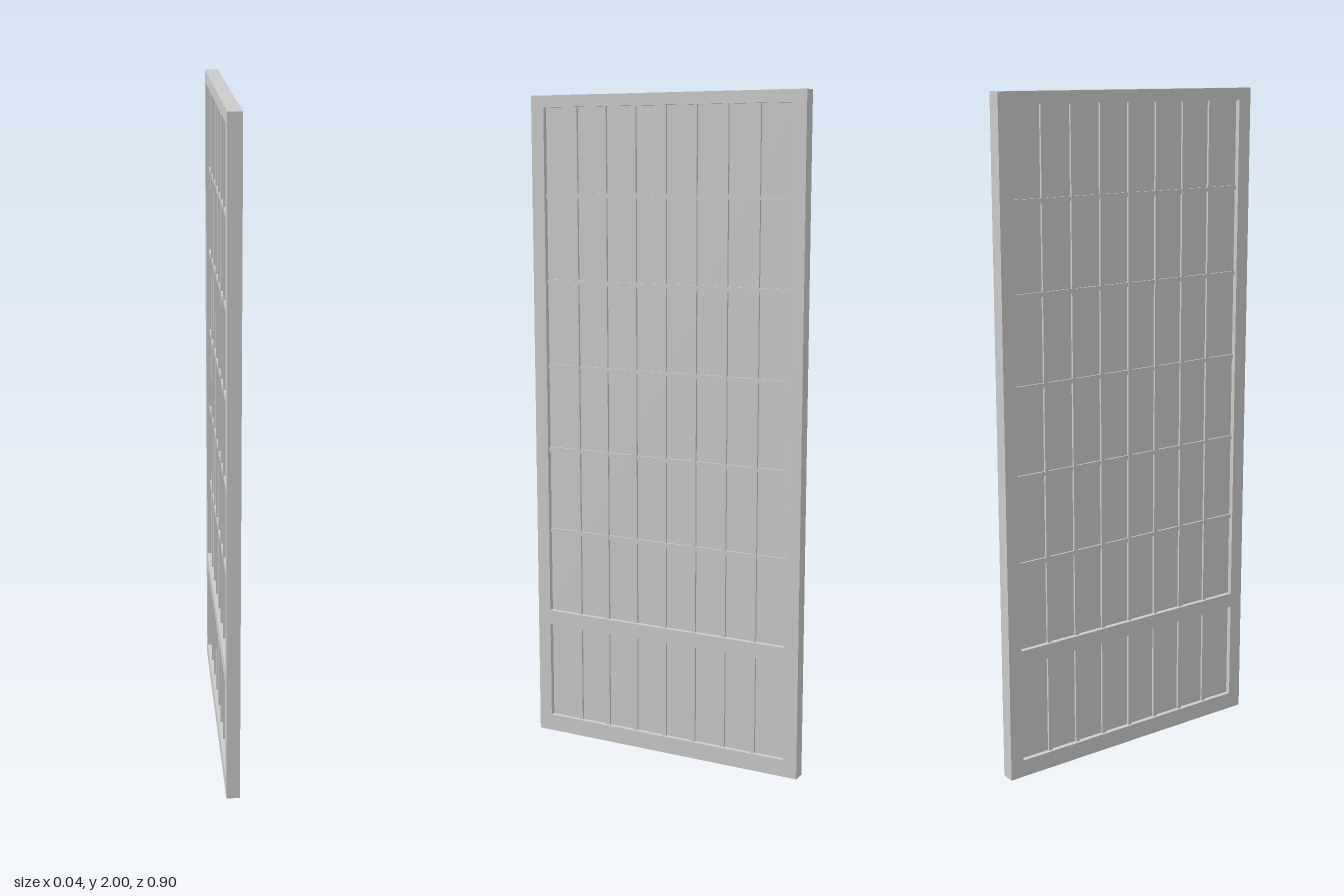
import * as THREE from 'three';

const HALF_W = 0.448, HEIGHT = 2, THICK = 0.04; // outer frame
const OPEN_W = 0.81;                            // width of both openings
const LOWER = [0.052, 0.355], UPPER = [0.4, 1.965]; // bottom and top of each opening
const BAR = 0.013, BAR_DEPTH = 0.024, PAPER = 0.01;

export function createModel() {
  const group = new THREE.Group();
  const material = new THREE.MeshStandardMaterial({ color: 0xcccccc, flatShading: true });

  function add(name, geometry) {
    const mesh = new THREE.Mesh(geometry, material);
    mesh.name = name;
    group.add(mesh);
    return mesh;
  }
  function box(name, depth, height, width, y, z = 0) {
    add(name, new THREE.BoxGeometry(depth, height, width)).position.set(0, y, z);
  }
  function rectangle(path, halfW, y0, y1) {
    path.moveTo(-halfW, y0).lineTo(halfW, y0).lineTo(halfW, y1).lineTo(-halfW, y1).closePath();
    return path;
  }

  // Outer frame with two openings
  const outline = rectangle(new THREE.Shape(), HALF_W, 0, HEIGHT);
  for (const [y0, y1] of [LOWER, UPPER]) {
    outline.holes.push(rectangle(new THREE.Path(), OPEN_W / 2, y0, y1));
  }
  const frame = new THREE.ExtrudeGeometry(outline, { depth: THICK, bevelEnabled: false });
  frame.translate(0, 0, -THICK / 2).rotateY(Math.PI / 2);
  add('frame', frame);

  // Thin panel and upright lattice bars in each opening
  for (const [label, [y0, y1]] of [['lower', LOWER], ['upper', UPPER]]) {
    const mid = (y0 + y1) / 2, h = y1 - y0;
    box(label + 'Panel', PAPER, h, OPEN_W, mid);
    for (let i = -3; i <= 3; i++) {
      box(label + 'UprightBar', BAR_DEPTH, h, BAR, mid, i * 0.1);
    }
  }

  // Cross bars divide the upper opening into six rows
  const rows = 6;
  for (let i = 1; i < rows; i++) {
    const y = UPPER[0] + (UPPER[1] - UPPER[0]) * i / rows;
    box('crossBar', BAR_DEPTH - 0.002, BAR, OPEN_W, y);
  }
  return group;
}
